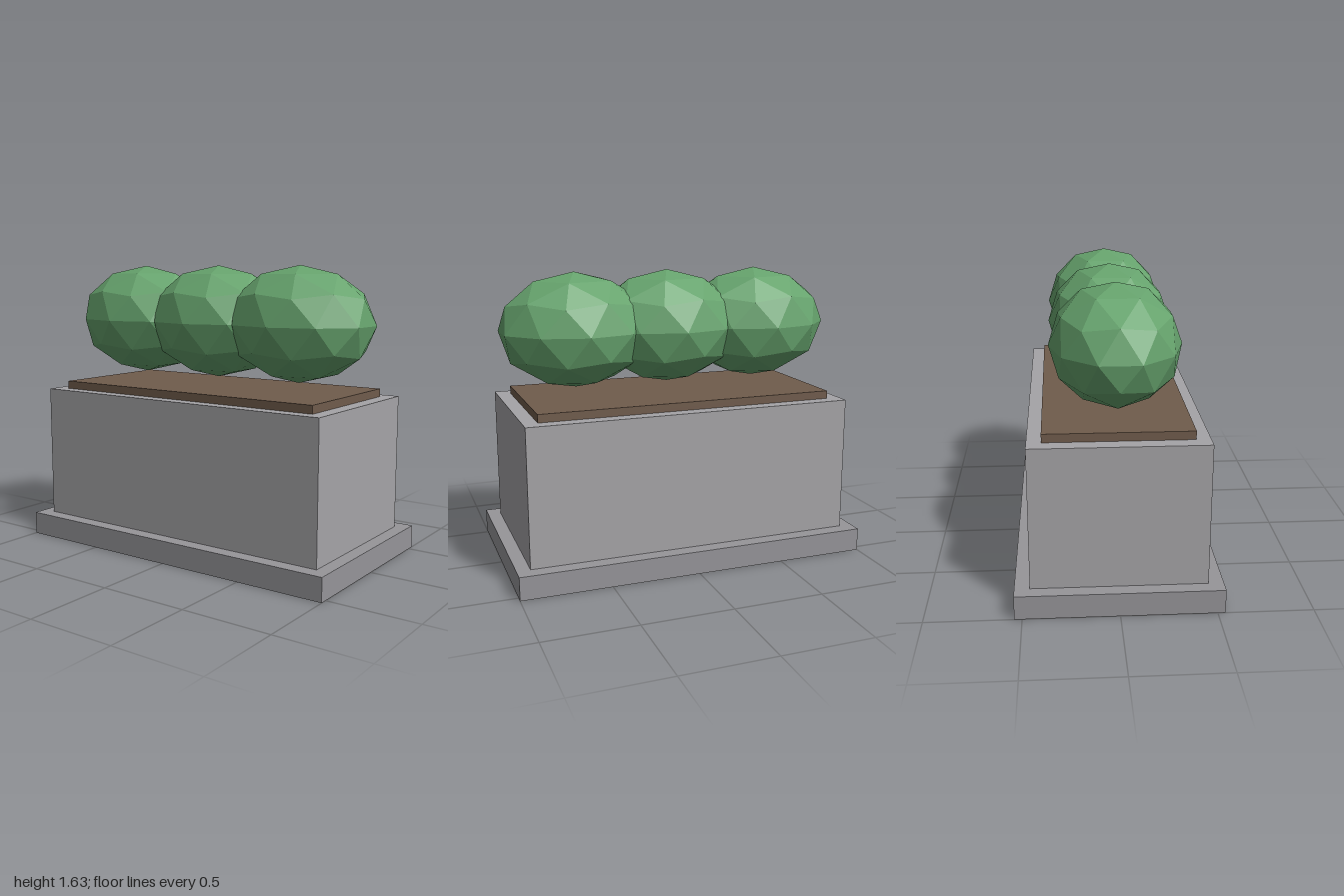
import * as THREE from 'three';

const material = (color, flatShading = false) => new THREE.MeshStandardMaterial({ color, flatShading });

// Box given by its footprint and its bottom and top heights
function slab(name, width, depth, bottom, top, mat) {
  const mesh = new THREE.Mesh(new THREE.BoxGeometry(width, top - bottom, depth), mat);
  mesh.position.y = (bottom + top) / 2;
  mesh.name = name;
  return mesh;
}

export function createModel() {
  const model = new THREE.Group();
  model.name = 'planter';

  // Stone trough on its plinth, filled with soil
  model.add(
    slab('plinth', 2, 1.08, 0, 0.13, material(0x969599)),
    slab('trough', 1.85, 0.92, 0.13, 0.895, material(0xa5a4a7)),
    slab('soil', 1.69, 0.77, 0.895, 0.94, material(0x705c4c))
  );

  // Row of faceted shrubs: icospheres turned so a corner points straight up
  const leaf = new THREE.IcosahedronGeometry(1, 1);
  leaf.rotateZ(-Math.atan(2 / (1 + Math.sqrt(5))));
  leaf.scale(0.43, 0.32, 0.344);
  const green = material(0x66a36d, true);
  const shrubs = new THREE.Group();
  shrubs.name = 'shrubs';
  ['rightShrub', 'middleShrub', 'leftShrub'].forEach((name, i) => {
    const shrub = new THREE.Mesh(leaf, green);
    shrub.name = name;
    shrub.position.set((i - 1) * 0.54, 1.31, 0);
    shrubs.add(shrub);
  });
  model.add(shrubs);

  return model;
}
